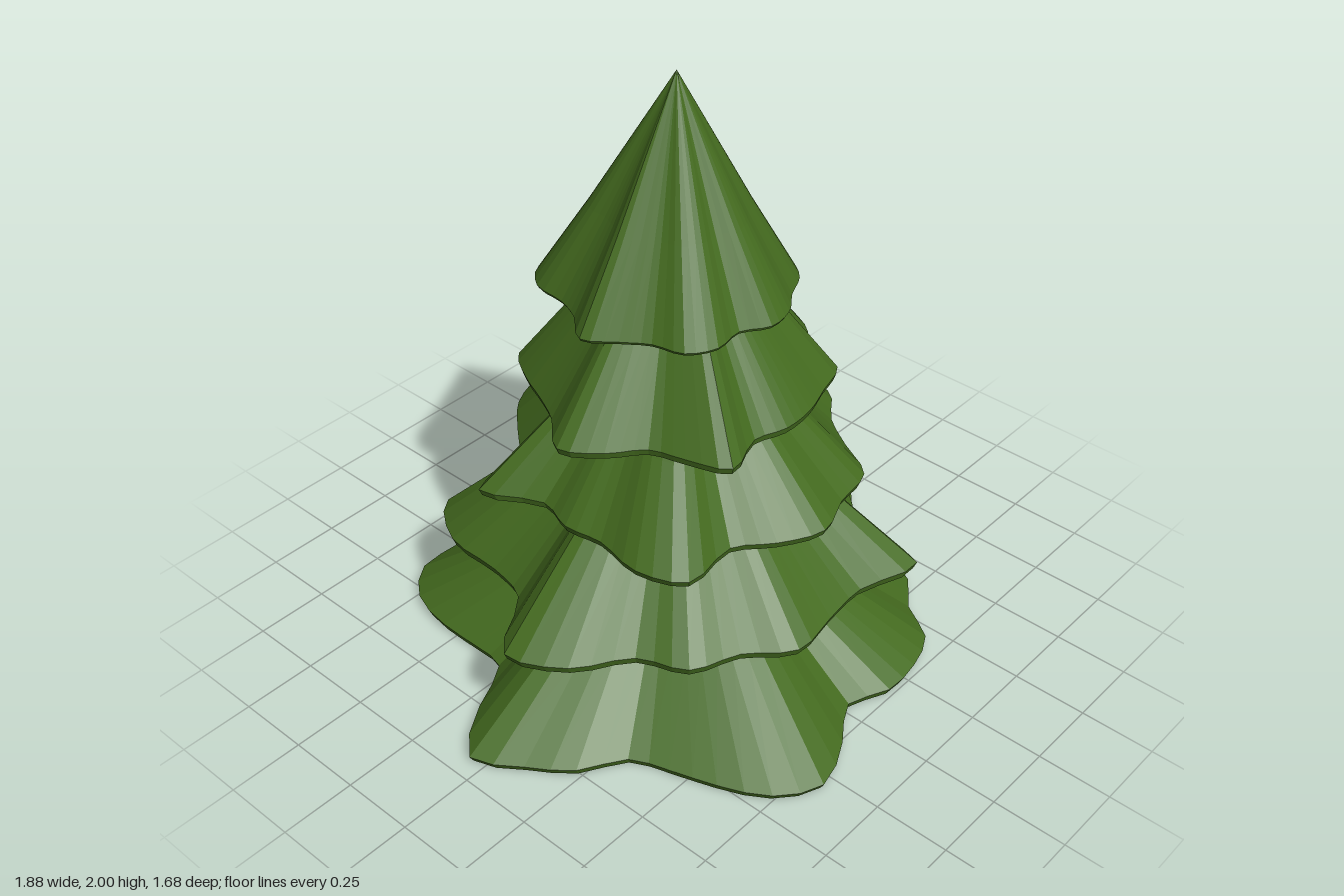
import * as THREE from 'three';

// Trunk axis shared by all tiers
const CX = 0.015, CZ = -0.045;
const SEGMENTS = 72;

// Each tier: rim heights, apex height, and rim radii (hundredths) at equal
// angles, starting from +x and turning towards +z
const TIERS = [
  { name: 'bottomTier', low: 0, high: 0.025, apex: 0.6,
    radii: [92, 80, 73, 77, 80, 78, 84, 83, 80, 73, 83, 94, 92, 84, 77, 74, 83, 89,
      96, 80, 66, 70, 79, 88, 90, 83, 81, 74, 77, 73, 77, 71, 81, 79, 76, 82] },
  { name: 'lowerTier', low: 0.31, high: 0.337, apex: 1.05,
    radii: [57, 61, 61, 60, 79, 65, 64, 68, 62, 66, 62, 73, 79, 60, 62, 74, 79, 62, 55, 60, 62, 70, 64, 66] },
  { name: 'middleTier', low: 0.645, high: 0.668, apex: 1.32,
    radii: [53, 60, 53, 54, 60, 57, 60, 55, 51, 64, 60, 51, 51, 49, 65, 51, 53, 59, 62, 58, 50, 54, 48, 51] },
  { name: 'upperTier', low: 0.95, high: 0.973, apex: 1.66,
    radii: [51, 49, 45, 50, 46, 45, 44, 42, 52, 45, 41, 47, 53, 45, 44, 47, 51, 47, 44, 43, 41, 48, 44, 43] },
  { name: 'topTier', low: 1.295, high: 1.305, apex: 2,
    radii: [41, 36, 37, 37, 35, 37, 37, 33, 38, 39, 35, 37, 42, 36, 36, 42, 43, 37, 34, 31, 35, 38, 34, 41] },
];

// Wavy rim through the radii, measured from the axis
function rimOutline(radii) {
  const points = radii.map((r, i) => {
    const angle = (i / radii.length) * Math.PI * 2;
    return new THREE.Vector3(Math.cos(angle), 0, Math.sin(angle)).multiplyScalar(r / 100);
  });
  return new THREE.CatmullRomCurve3(points, true).getPoints(SEGMENTS).slice(0, SEGMENTS);
}

// Hollow pleated cone: capped underside, thin rim, then a slightly concave outer slope
function tierGeometry({ low, high, apex, radii }) {
  const outline = rimOutline(radii);
  const capHeight = low + (apex - 0.04 - low) * 0.77;
  const profile = [ // scale from the axis, height
    [0, capHeight],
    [0.23, capHeight],
    [0.985, low],
    [1, high],
    [0.61, high + (apex - high) * 0.375],
    [0, apex],
  ];
  const position = [], index = [];
  for (const [s, y] of profile) {
    for (const p of outline) position.push(CX + p.x * s, y, CZ + p.z * s);
  }
  for (let r = 0; r < profile.length - 1; r++) {
    for (let i = 0; i < SEGMENTS; i++) {
      const a = r * SEGMENTS + i, b = r * SEGMENTS + (i + 1) % SEGMENTS;
      const c = a + SEGMENTS, d = b + SEGMENTS;
      if (profile[r][0] > 0) index.push(b, a, c);
      if (profile[r + 1][0] > 0) index.push(b, c, d);
    }
  }
  const geometry = new THREE.BufferGeometry();
  geometry.setAttribute('position', new THREE.Float32BufferAttribute(position, 3));
  geometry.setIndex(index);
  const flat = geometry.toNonIndexed();
  flat.computeVertexNormals();
  return flat;
}

export function createModel() {
  const tree = new THREE.Group();
  tree.name = 'pineTree';
  const needles = new THREE.MeshStandardMaterial({ color: 0x446b1f });
  needles.name = 'needleGreen';

  for (const tier of TIERS) {
    const mesh = new THREE.Mesh(tierGeometry(tier), needles);
    mesh.name = tier.name;
    tree.add(mesh);
  }
  return tree;
}
